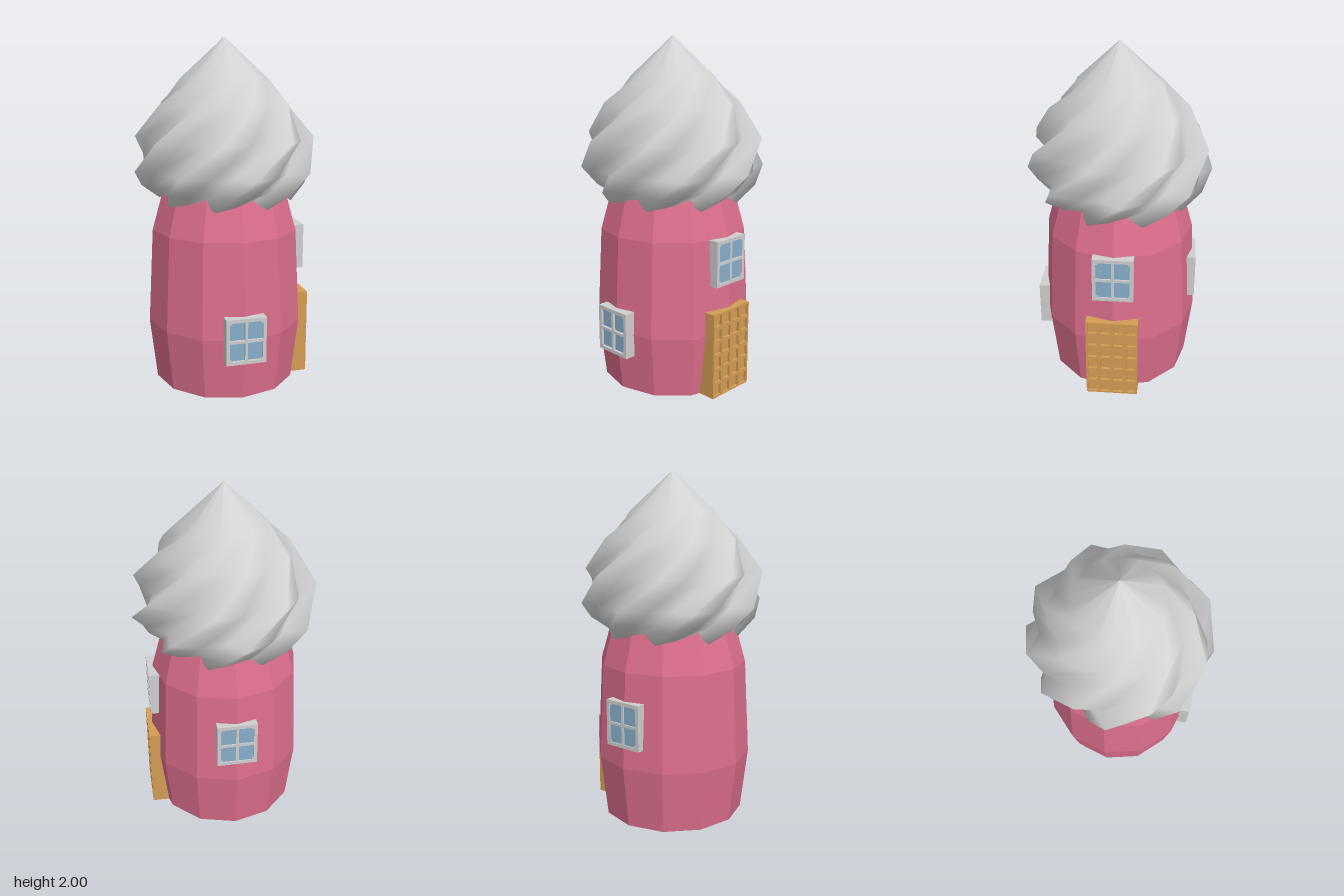
import * as THREE from 'three';

const mat = (name, color, side = THREE.FrontSide) => {
  const m = new THREE.MeshStandardMaterial({ color, side });
  m.name = name;
  return m;
};

function mesh(name, geo, material, parent) {
  const m = new THREE.Mesh(geo, material);
  m.name = name;
  parent.add(m);
  return m;
}

// Flat panel pierced by a grid of rectangular openings; front face ends at z = 0
function latticeGeometry(w, h, cols, rows, border, bar, depth) {
  const s = new THREE.Shape();
  s.moveTo(-w / 2, -h / 2).lineTo(w / 2, -h / 2).lineTo(w / 2, h / 2).lineTo(-w / 2, h / 2).closePath();
  const cw = (w - 2 * border - (cols - 1) * bar) / cols;
  const ch = (h - 2 * border - (rows - 1) * bar) / rows;
  for (let i = 0; i < cols; i++) {
    for (let j = 0; j < rows; j++) {
      const x = -w / 2 + border + i * (cw + bar);
      const y = -h / 2 + border + j * (ch + bar);
      const p = new THREE.Path();
      p.moveTo(x, y).lineTo(x, y + ch).lineTo(x + cw, y + ch).lineTo(x + cw, y).closePath();
      s.holes.push(p);
    }
  }
  return new THREE.ExtrudeGeometry(s, { depth, bevelEnabled: false }).translate(0, 0, -depth);
}

// Eight overlapping folds that spiral up to a point
function roofGeometry() {
  // y, crest radius, crest angle in degrees, valley ratio, valley lift
  const levels = [
    [1.07, 0.39, 67, 0.9, 0.05],
    [1.16, 0.48, 54, 0.84, 0.01],
    [1.26, 0.531, 41, 0.82, 0],
    [1.44, 0.517, 15, 0.83, 0],
    [1.63, 0.39, -8, 0.88, 0],
    [1.77, 0.25, -31, 0.94, 0],
    [2.0, 0, -50, 1, 0],
  ];
  const folds = 8, n = folds * 3, pos = [], idx = [];
  for (const [y, r, a, valley, lift] of levels) {
    for (let k = 0; k < folds; k++) {
      // crest, steep valley close behind it, then the broad face to the next crest
      const section = [[0, 1, 0], [12, valley, 1], [28, (1 + valley) / 2 + 0.02 * (1 - valley), 0.5]];
      for (const [da, f, l] of section) {
        const t = THREE.MathUtils.degToRad(a + k * 45 + da);
        pos.push(r * f * Math.cos(t), y + lift * l, r * f * Math.sin(t));
      }
    }
  }
  for (let j = 0; j < levels.length - 1; j++) {
    for (let i = 0; i < n; i++) {
      const a = j * n + i, b = j * n + (i + 1) % n, c = a + n, d = b + n;
      idx.push(a, c, b);
      if (j < levels.length - 2) idx.push(b, c, d);
    }
  }
  const g = new THREE.BufferGeometry();
  g.setAttribute('position', new THREE.Float32BufferAttribute(pos, 3));
  g.setIndex(idx);
  g.computeVertexNormals();
  return g;
}

export function createModel() {
  const model = new THREE.Group();
  model.name = 'towerHouse';

  const pink = mat('pinkWall', 0xdc6e8d, THREE.DoubleSide);
  const grey = mat('greyRoof', 0xd2d2d2, THREE.DoubleSide);
  const frameGrey = mat('greyFrame', 0xcfcfcf);
  const blue = mat('blueGlass', 0x87aecb);
  const wood = mat('wood', 0xd49c54);

  // Twelve-sided barrel wall, open underneath
  const profile = [[0.415, 0], [0.457, 0.36], [0.428, 0.91], [0.372, 1.11], [0.31, 1.3]]
    .map(([r, y]) => new THREE.Vector2(r, y));
  const wall = new THREE.LatheGeometry(profile, 12).toNonIndexed();
  wall.computeVertexNormals();
  mesh('wall', wall, pink, model);

  mesh('roof', roofGeometry(), grey, model);

  // Windows: turn about y, centre height, distance of the outer face, glass recess
  const W = 0.23, H = 0.265;
  const addWindow = (name, turn, y, out, recess) => {
    const g = new THREE.Group();
    g.name = name;
    mesh('frame', latticeGeometry(W, H, 2, 2, 0.02, 0.016, 0.062), frameGrey, g);
    mesh('glass', new THREE.BoxGeometry(W - 0.01, H - 0.01, 0.004), blue, g).position.z = -recess - 0.002;
    // small blocks in the outer corners of the glass
    for (const sx of [-1, 1]) {
      for (const sy of [-1, 1]) {
        mesh('cornerBlock', new THREE.BoxGeometry(0.012, 0.012, 0.006), frameGrey, g)
          .position.set(sx * (W / 2 - 0.024), sy * (H / 2 - 0.024), -0.004);
      }
    }
    g.position.set(Math.sin(turn) * out, y, Math.cos(turn) * out);
    g.rotation.y = turn;
    model.add(g);
  };
  addWindow('frontWindow', 0, 0.367, 0.485, 0.015);
  addWindow('leftWindow', Math.PI / 2, 0.78, 0.458, 0.009);
  addWindow('backWindow', Math.PI, 0.615, 0.459, 0.007);

  // Panelled door
  const door = new THREE.Group();
  door.name = 'door';
  mesh('doorLattice', latticeGeometry(0.3, 0.505, 4, 6, 0.011, 0.021, 0.015), wood, door);
  mesh('doorSlab', new THREE.BoxGeometry(0.3, 0.505, 0.09), wood, door).position.z = -0.06;
  door.position.set(0.476, 0.2525, 0.006);
  door.rotation.y = Math.PI / 2;
  model.add(door);

  return model;
}
